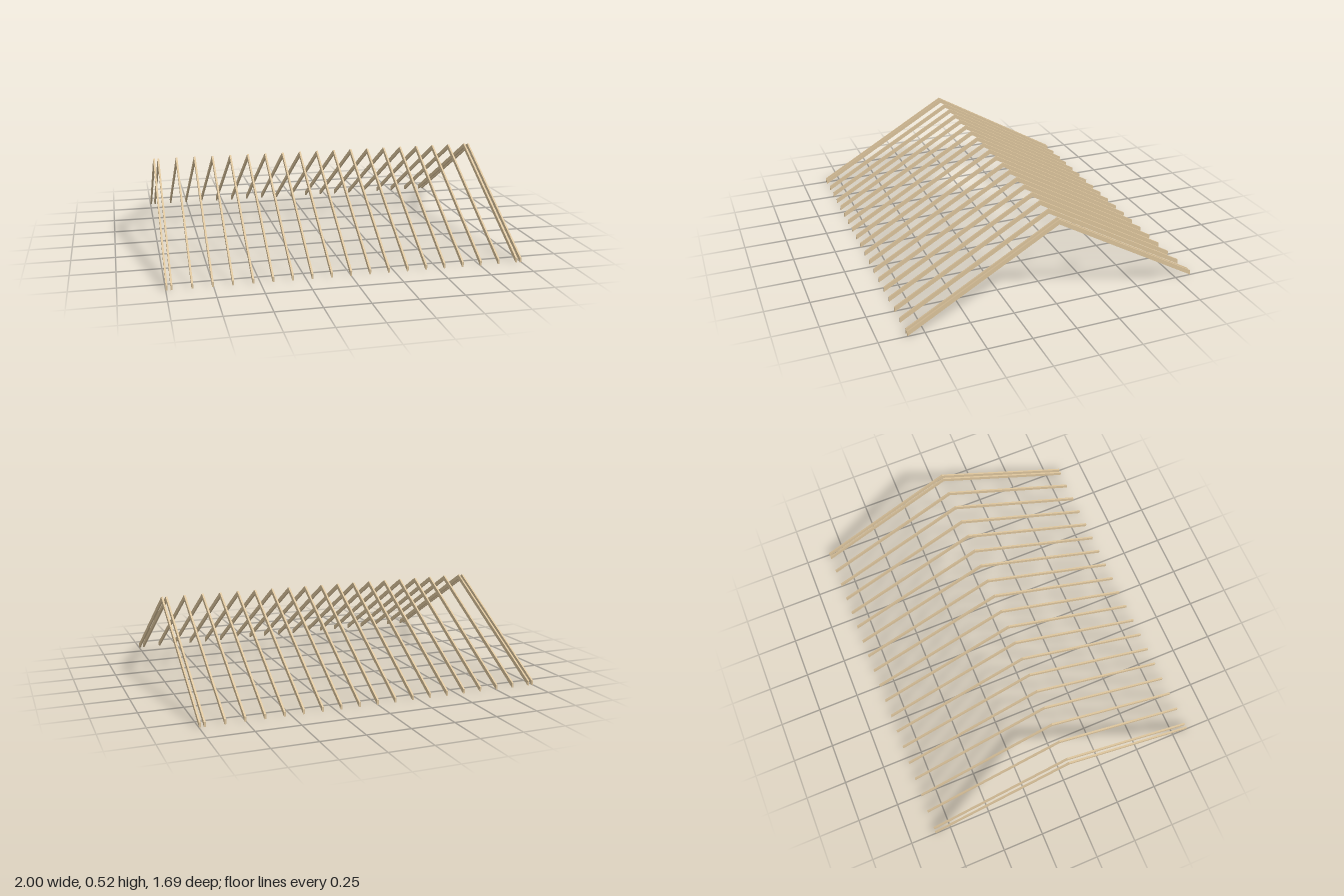
import * as THREE from 'three';

const THICK = 0.0101;      // board thickness along x
const HALF_SPAN = 0.845;   // ridge to eave
const RISE = 0.488;        // underside height at the ridge
const DEPTH = 0.0275;      // board depth measured plumb
const SPACING = 0.1077;

// One sloping board with plumb cuts at ridge and eave, running towards +z
function rafterGeometry() {
  const shape = new THREE.Shape([
    new THREE.Vector2(0, RISE),
    new THREE.Vector2(HALF_SPAN, 0),
    new THREE.Vector2(HALF_SPAN, DEPTH),
    new THREE.Vector2(0, RISE + DEPTH),
  ]);
  const geometry = new THREE.ExtrudeGeometry(shape, { depth: THICK, bevelEnabled: false });
  geometry.translate(0, 0, -THICK / 2);
  geometry.rotateY(-Math.PI / 2); // profile x becomes z
  return geometry;
}

export function createModel() {
  const model = new THREE.Group();
  model.name = 'roofRafters';
  const wood = new THREE.MeshStandardMaterial({ color: 0xdcc49c });
  const geometry = rafterGeometry();

  // Front and back boards meeting at the ridge
  function addPair(x, name) {
    const pair = new THREE.Group();
    pair.name = name;
    const front = new THREE.Mesh(geometry, wood);
    front.name = 'frontRafter';
    const back = new THREE.Mesh(geometry, wood);
    back.name = 'backRafter';
    back.rotation.y = Math.PI;
    pair.add(front, back);
    pair.position.x = x;
    model.add(pair);
  }

  // Evenly spaced common rafters
  for (let i = -9; i <= 9; i++) addPair(i * SPACING, 'rafterPair');

  // Outer rafters just beyond each end pair
  for (const side of [-1, 1]) addPair(side * (1 - THICK / 2), 'gableRafterPair');

  return model;
}
